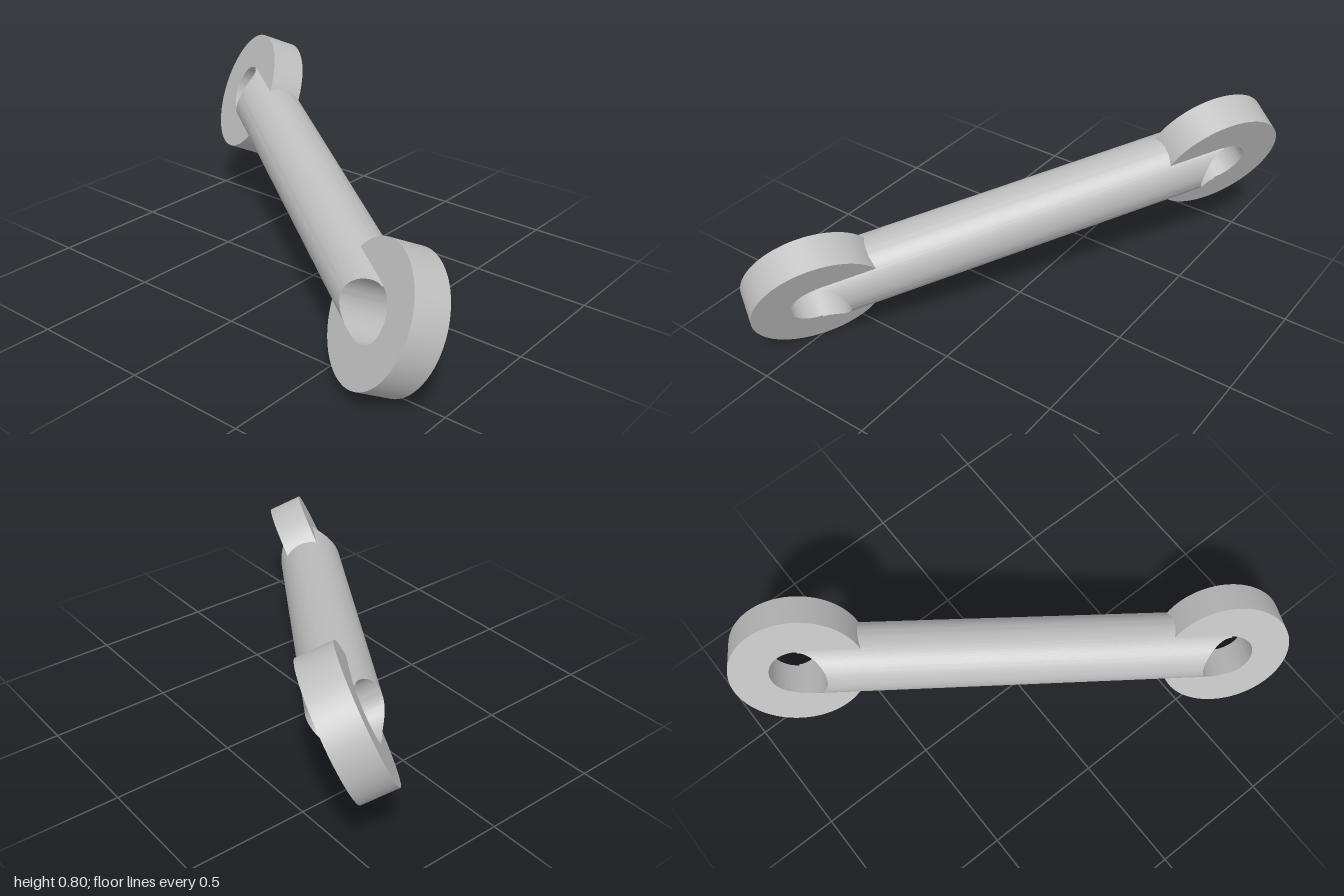
import * as THREE from 'three';
import { toCreasedNormals } from 'three/addons/utils/BufferGeometryUtils.js';

const EYE_R = 0.27;      // outer radius of each ring
const BORE_R = 0.113;    // hole radius
const EYE_T = 0.146;     // ring thickness
const ROD_R = 0.138;     // rod radius
const END = new THREE.Vector3(0.725, -0.125, 0.475); // ring centre from the middle
const HALF = END.length();

// Ring with a rectangular section, turned about local y
function eyeGeometry() {
  const t = EYE_T / 2;
  const profile = [[BORE_R, -t], [EYE_R, -t], [EYE_R, t], [BORE_R, t], [BORE_R, -t]]
    .map(([x, y]) => new THREE.Vector2(x, y));
  return toCreasedNormals(new THREE.LatheGeometry(profile, 96), 0.5);
}

// Round rod along local x, its ends hollowed by the ring bores
function rodGeometry() {
  const widths = [];
  const edge = Math.asin(BORE_R / ROD_R);
  const nub = 10, arc = 40;
  for (let i = 0; i < nub; i++) {
    widths.push(-ROD_R * Math.sin(Math.PI / 2 + (edge - Math.PI / 2) * i / nub));
  }
  for (let i = 0; i <= arc; i++) widths.push(BORE_R * Math.sin(Math.PI * (i / arc - 0.5)));
  for (let i = nub - 1; i >= 0; i--) widths.push(-widths[i]);

  // Four corners of the lengthwise slice at each width
  const slices = widths.map((w) => {
    const h = Math.sqrt(Math.max(0, ROD_R * ROD_R - w * w));
    const s = HALF - Math.sqrt(Math.max(0, BORE_R * BORE_R - w * w));
    return [[-s, -h, w], [-s, h, w], [s, h, w], [s, -h, w]];
  });
  const positions = [];
  for (let i = 0; i < slices.length - 1; i++) {
    const p = slices[i], q = slices[i + 1];
    for (let k = 0; k < 4; k++) {
      const n = (k + 1) % 4;
      positions.push(...p[k], ...q[k], ...q[n], ...p[k], ...q[n], ...p[n]);
    }
  }
  // Wind every face outward
  for (let i = 0; i < positions.length; i += 9) {
    for (let c = 0; c < 3; c++) {
      const swap = positions[i + 3 + c];
      positions[i + 3 + c] = positions[i + 6 + c];
      positions[i + 6 + c] = swap;
    }
  }
  const geometry = new THREE.BufferGeometry();
  geometry.setAttribute('position', new THREE.Float32BufferAttribute(positions, 3));
  orientOutward(geometry);
  return toCreasedNormals(geometry, 0.5);
}

// Flip the whole surface if its signed volume is negative
function orientOutward(geometry) {
  const pos = geometry.attributes.position;
  const a = new THREE.Vector3(), b = new THREE.Vector3(), c = new THREE.Vector3();
  let volume = 0;
  for (let i = 0; i < pos.count; i += 3) {
    a.fromBufferAttribute(pos, i);
    b.fromBufferAttribute(pos, i + 1);
    c.fromBufferAttribute(pos, i + 2);
    volume += a.dot(b.cross(c));
  }
  if (volume >= 0) return;
  for (let i = 0; i < pos.count; i += 3) {
    b.fromBufferAttribute(pos, i + 1);
    c.fromBufferAttribute(pos, i + 2);
    pos.setXYZ(i + 1, c.x, c.y, c.z);
    pos.setXYZ(i + 2, b.x, b.y, b.z);
  }
}

export function createModel() {
  const steel = new THREE.MeshStandardMaterial({ color: 0xbfbfbf, side: THREE.DoubleSide });
  steel.name = 'plain grey';

  const link = new THREE.Group();
  link.name = 'connectingRod';

  const rod = new THREE.Mesh(rodGeometry(), steel);
  rod.name = 'rod';
  link.add(rod);

  const eye = eyeGeometry();
  for (const [name, side] of [['leftEye', 1], ['rightEye', -1]]) {
    const mesh = new THREE.Mesh(eye, steel);
    mesh.name = name;
    mesh.position.x = side * HALF;
    link.add(mesh);
  }

  // Tilt: local x runs along the rod, local y along the ring axes
  const along = END.clone().normalize();
  const axis = new THREE.Vector3(-0.46, 0.4, 0.79);
  axis.addScaledVector(along, -axis.dot(along)).normalize();
  const across = along.clone().cross(axis);
  link.quaternion.setFromRotationMatrix(new THREE.Matrix4().makeBasis(along, axis, across));
  link.position.y = 0.4025;

  const model = new THREE.Group();
  model.name = 'model';
  model.add(link);
  return model;
}
